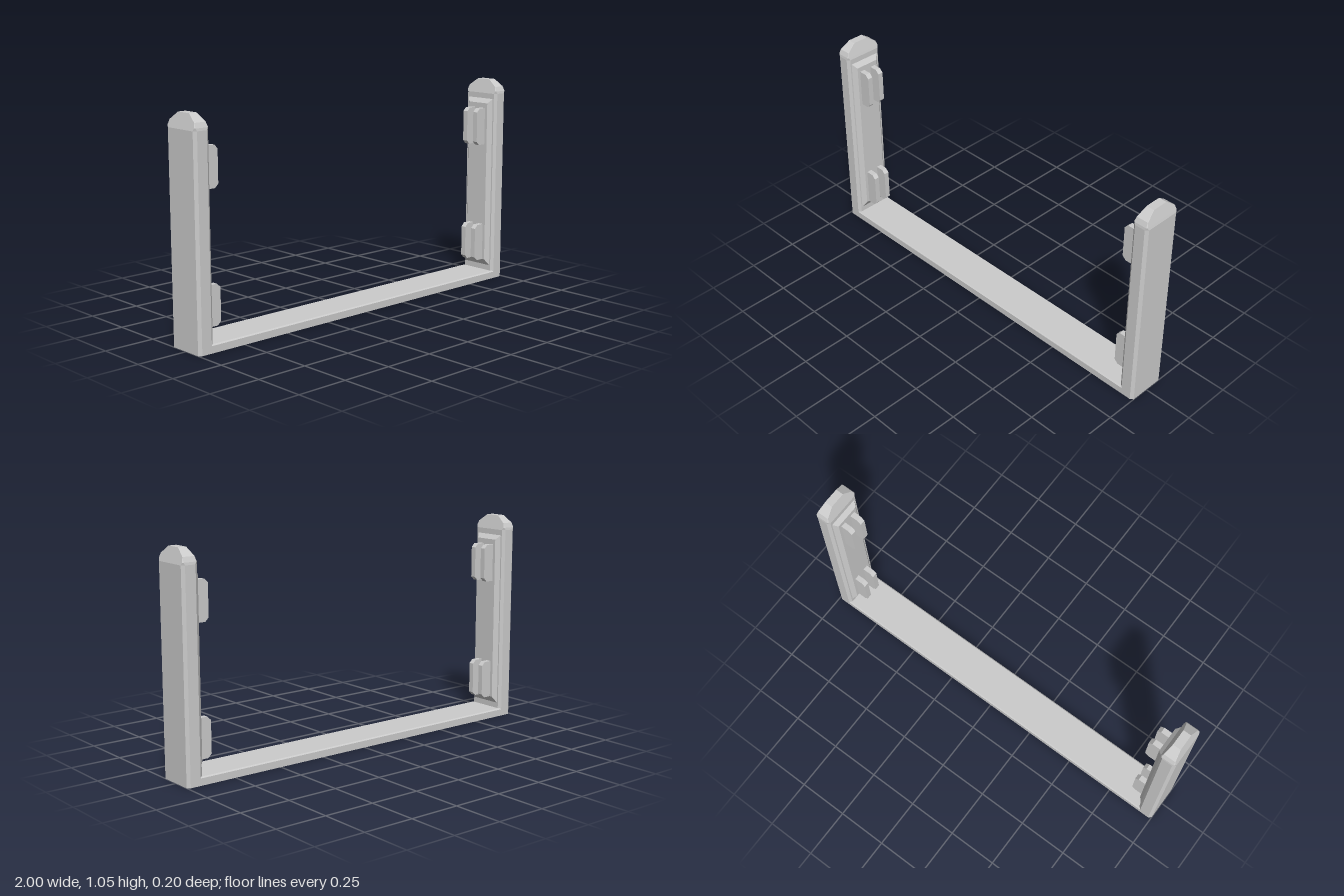
import * as THREE from 'three';

const grey = new THREE.MeshStandardMaterial({ color: 0xcccccc, flatShading: true });

// Joins closed rings of [x, y, z] points, wound right-handed about the stacking direction, and caps both ends
function loft(rings) {
  const n = rings[0].length, last = (rings.length - 1) * n, index = [];
  for (let r = 0; r < last; r += n) {
    for (let i = 0; i < n; i++) {
      const j = (i + 1) % n;
      index.push(r + i, r + j, r + n + j, r + i, r + n + j, r + n + i);
    }
  }
  for (let i = 1; i < n - 1; i++) index.push(0, i + 1, i, last, last + i, last + i + 1);
  const g = new THREE.BufferGeometry();
  g.setAttribute('position', new THREE.Float32BufferAttribute(rings.flat(2), 3));
  g.setIndex(index);
  const flat = g.toNonIndexed();
  flat.computeVertexNormals();
  return flat;
}

// Horizontal rectangle with cut corners, half sizes hx and hz
function ringY(y, hx, hz, cx, cz) {
  return [
    [hx, hz - cz], [hx, cz - hz], [hx - cx, -hz], [cx - hx, -hz],
    [-hx, cz - hz], [-hx, hz - cz], [cx - hx, hz], [hx - cx, hz],
  ].map(([x, z]) => [x, y, z]);
}

// Upright rectangle facing the middle of the frame
function ringX(x, y0, y1, hz) {
  return [[x, y0, -hz], [x, y0, hz], [x, y1, hz], [x, y1, -hz]];
}

function add(parent, name, geometry) {
  const mesh = new THREE.Mesh(geometry, grey);
  mesh.name = name;
  parent.add(mesh);
  return mesh;
}

// One post with its raised inner panel and clip fins, on the +x side
function createSide() {
  const side = new THREE.Group();

  // Post with chamfered edges and a tapered, rounded tip
  const post = add(side, 'post', loft([
    ringY(0, 0.04, 0.1, 0.014, 0.012),
    ringY(0.98, 0.04, 0.1, 0.014, 0.012),
    ringY(0.992, 0.0366, 0.098, 0.005, 0.004),
    ringY(1.015, 0.03, 0.088, 0.001, 0.001),
    ringY(1.05, 0.02, 0.04, 0.001, 0.001),
  ]));
  post.position.x = 0.96;

  // Raised panel with sloping borders
  add(side, 'innerPanel', loft([
    ringX(0.93, 0.055, 0.965, 0.088),
    ringX(0.922, 0.065, 0.955, 0.083),
    ringX(0.9, 0.1, 0.93, 0.062),
  ]));

  // Paired fins with clipped inner corners
  const c = 0.018, x0 = 0.91, x1 = 0.84, h = 0.19;
  const outline = new THREE.Shape([
    [x0, 0], [x0, h], [x1 + c, h], [x1, h - c], [x1, c], [x1 + c, 0],
  ].map(([x, y]) => new THREE.Vector2(x, y)));
  const finGeometry = new THREE.ExtrudeGeometry(outline, { depth: 0.027, bevelEnabled: false });
  for (const y of [0.1, 0.715]) {
    for (const z of [0.02, -0.047]) {
      add(side, 'clipFin', finGeometry).position.set(0, y, z);
    }
  }
  return side;
}

export function createModel() {
  const model = new THREE.Group();
  model.name = 'frame';

  // Flat base bar with a fine chamfer along its top edges
  add(model, 'baseBar', loft([
    ringY(0, 0.95, 0.1, 0.001, 0.001),
    ringY(0.034, 0.95, 0.1, 0.001, 0.001),
    ringY(0.04, 0.95, 0.094, 0.001, 0.001),
  ]));

  // The two sides are half-turn copies of each other
  const left = createSide();
  left.name = 'leftSide';
  const right = createSide();
  right.name = 'rightSide';
  right.rotation.y = Math.PI;
  model.add(left, right);
  return model;
}
